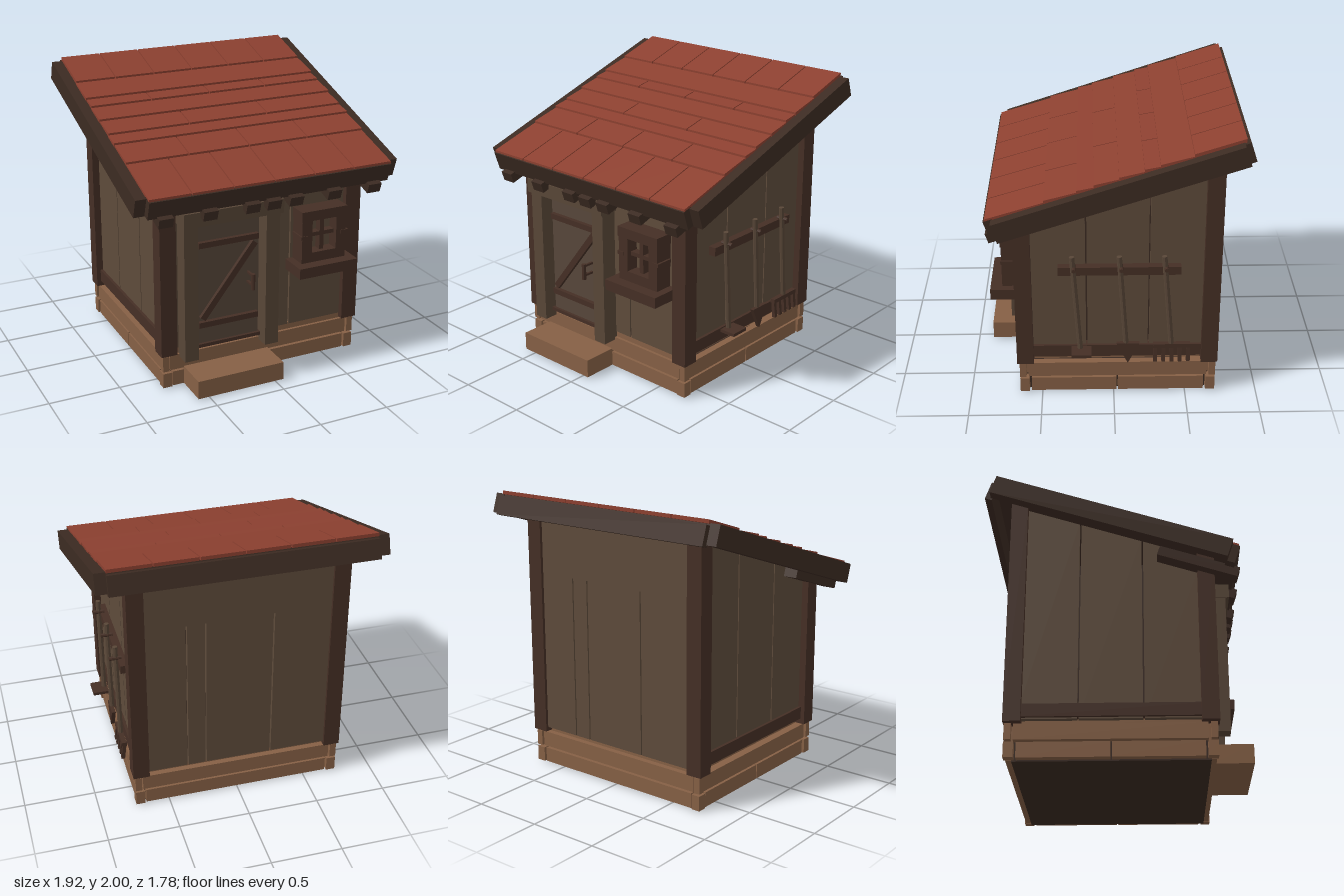
import * as THREE from 'three';

const SLOPE = 0.33, ANGLE = Math.atan(SLOPE);
const roofY = z => 1.455 + (0.83 - z) * SLOPE;

export function createModel() {
  const shed = new THREE.Group();
  shed.name = 'shed';
  const mat = color => new THREE.MeshStandardMaterial({ color, flatShading: true });
  const M = {
    tile: mat(0x8c4030), wall: mat(0x5e4b3b), door: mat(0x57463a), trim: mat(0x452f25),
    fascia: mat(0x3c2b22), frame: mat(0x584637), base: mat(0x866045), core: mat(0x3a2a22)
  };

  const add = (name, geo, m, parent = shed) => {
    const mesh = new THREE.Mesh(geo, m);
    mesh.name = name;
    parent.add(mesh);
    return mesh;
  };
  const group = name => {
    const g = new THREE.Group();
    g.name = name;
    shed.add(g);
    return g;
  };
  // box given by its limits on each axis
  const box = (name, x0, x1, y0, y1, z0, z1, m, parent) => {
    const mesh = add(name, new THREE.BoxGeometry(x1 - x0, y1 - y0, z1 - z0), m, parent);
    mesh.position.set((x0 + x1) / 2, (y0 + y1) / 2, (z0 + z1) / 2);
    return mesh;
  };
  // outline in (z, y), extruded from x0 to x1
  const prism = (name, pts, x0, x1, m, parent) => {
    const shape = new THREE.Shape(pts.map(p => new THREE.Vector2(p[0], p[1])));
    const geo = new THREE.ExtrudeGeometry(shape, { depth: x1 - x0, bevelEnabled: false });
    geo.rotateY(-Math.PI / 2).translate(x1, 0, 0);
    return add(name, geo, m, parent);
  };
  // upright piece whose top follows the roof
  const underRoof = (name, x0, x1, y0, z0, z1, m, parent) => prism(name,
    [[z0, y0], [z1, y0], [z1, roofY(z1) - 0.06], [z0, roofY(z0) - 0.06]], x0, x1, m, parent);

  // Foundation: two courses of blocks around a core
  const base = group('foundation');
  box('foundationCore', -0.68, 0.68, 0, 0.24, -0.66, 0.61, M.core, base);
  box('floorSill', -0.67, 0.67, 0.235, 0.29, -0.66, 0.625, M.base, base);
  [[0.01, 0.115, 0.065], [0.13, 0.24, 0.045]].forEach(([y0, y1, c], row) => {
    for (const s of [-1, 1]) {
      const xa = s > 0 ? 0.74 - c : -0.74, xb = xa + c;
      box('cornerBlock', xa, xb, y0, y1, 0.655 - c, 0.655, M.base, base);
      box('cornerBlock', xa, xb, y0, y1, -0.71, -0.71 + c, M.base, base);
      const sx = s > 0 ? 0.63 : -0.73;
      const cuts = row ? [-0.7 + c, 0.645 - c] : [-0.7 + c, -0.025, 0.645 - c];
      for (let i = 0; i < cuts.length - 1; i++)
        box('sideBlock', sx, sx + 0.1, y0, y1, cuts[i] + 0.005, cuts[i + 1] - 0.005, M.base, base);
    }
    box('frontBlock', -0.73 + c, 0.73 - c, y0, y1, 0.55, 0.645, M.base, base);
    box('backBlock', -0.73 + c, 0.73 - c, y0, y1, -0.7, -0.6, M.base, base);
  });
  box('doorStep', -0.585, 0.055, 0.01, 0.14, 0.62, 0.89, M.base);

  // Walls: planks with narrow gaps over an inner lining
  const walls = group('walls');
  box('innerLining', -0.66, 0.66, 0.28, 1.43, -0.66, 0.59, M.core, walls);
  const planks = (cuts, make) => {
    for (let i = 0; i < cuts.length - 1; i++) make(cuts[i] + 0.005, cuts[i + 1] - 0.005);
  };
  for (const s of [-1, 1]) {
    const x0 = s > 0 ? 0.665 : -0.705;
    planks([-0.65, -0.24, 0.185, 0.6], (a, b) => underRoof('sidePlank', x0, x0 + 0.04, 0.28, a, b, M.wall, walls));
    const sx = s > 0 ? 0.66 : -0.725;
    box('sideSill', sx, sx + 0.065, 0.29, 0.38, -0.65, 0.6, M.trim, walls);
  }
  planks([-0.67, -0.51, -0.02, 0.225, 0.67], (a, b) => box('frontPlank', a, b, 0.28, 1.45, 0.595, 0.63, M.wall, walls));
  planks([-0.67, -0.24, 0.23, 0.36, 0.67], (a, b) => box('backPlank', a, b, 0.28, 1.43, -0.7, -0.665, M.wall, walls));
  box('backUpperBoard', -0.67, 0.67, 1.43, 1.88, -0.7, -0.665, M.wall, walls);
  for (const [a, b] of [[-0.755, -0.64], [0.64, 0.755]]) {
    underRoof('frontPost', a, b, 0.25, 0.555, 0.67, M.trim, walls);
    underRoof('backPost', a, b, 0.25, -0.72, -0.605, M.trim, walls);
  }

  // Door
  const door = group('door');
  box('doorPanel', -0.5, -0.03, 0.29, 1.19, 0.63, 0.66, M.door, door);
  box('doorFoot', -0.515, -0.02, 0.27, 0.295, 0.62, 0.68, M.trim, door);
  box('doorJamb', -0.615, -0.515, 0.22, 1.19, 0.62, 0.745, M.frame, door);
  box('doorJamb', -0.015, 0.085, 0.22, 1.19, 0.62, 0.745, M.frame, door);
  box('doorHeader', -0.625, 0.1, 1.19, 1.29, 0.62, 0.77, M.frame, door);
  for (const y of [0.42, 1.0]) box('doorRail', -0.485, -0.045, y, y + 0.04, 0.65, 0.69, M.trim, door);
  const brace = add('doorBrace', new THREE.BoxGeometry(0.63, 0.045, 0.03), M.trim, door);
  brace.position.set(-0.263, 0.73, 0.672);
  brace.rotation.z = Math.atan2(0.5, 0.39);
  const handle = add('doorHandle', new THREE.CylinderGeometry(0.015, 0.015, 0.115, 8), M.trim, door);
  handle.position.set(-0.11, 0.715, 0.74);
  for (const y of [0.68, 0.75]) box('handleMount', -0.118, -0.102, y, y + 0.015, 0.65, 0.74, M.trim, door);

  // Window
  const win = group('window');
  box('windowPane', 0.31, 0.53, 0.83, 1.11, 0.62, 0.67, M.wall, win);
  box('windowTop', 0.245, 0.595, 1.09, 1.16, 0.62, 0.765, M.trim, win);
  box('windowBottom', 0.25, 0.59, 0.785, 0.855, 0.62, 0.76, M.trim, win);
  for (const [a, b] of [[0.25, 0.328], [0.515, 0.59]]) box('windowSide', a, b, 0.785, 1.09, 0.62, 0.76, M.trim, win);
  for (const a of [0.24, 0.55]) box('windowBlock', a, a + 0.055, 0.96, 0.985, 0.64, 0.765, M.trim, win);
  box('windowBarVertical', 0.405, 0.437, 0.85, 1.09, 0.64, 0.725, M.trim, win);
  box('windowBarLevel', 0.32, 0.52, 0.96, 0.988, 0.64, 0.725, M.trim, win);
  box('windowSill', 0.195, 0.645, 0.71, 0.785, 0.62, 0.84, M.trim, win);

  // Roof: deck, edge boards, rafters and overlapping shingles
  const roof = group('roof');
  const sloped = (name, w, h, len, x, y, z, m) => {
    const mesh = add(name, new THREE.BoxGeometry(w, h, len), m, roof);
    mesh.position.set(x, y, z);
    mesh.rotation.x = ANGLE;
    return mesh;
  };
  sloped('roofDeck', 1.77, 0.05, 1.7, 0, roofY(0) - 0.05, 0, M.fascia);
  for (const s of [-1, 1]) sloped('rakeBoard', 0.075, 0.137, 1.68, s * 0.922, 1.647, -0.03, M.fascia);
  sloped('frontFascia', 1.77, 0.135, 0.065, 0, 1.383, 0.787, M.fascia);
  sloped('backFascia', 1.77, 0.135, 0.05, 0, 1.9, -0.845, M.fascia);
  for (const x of [-0.77, -0.46, -0.155, 0, 0.165, 0.455, 0.765])
    sloped('rafter', 0.1, 0.07, 0.56, x, 1.365, 0.56, M.fascia);
  const rows = [
    [0.83, 6], [0.45, 4], [0.24, 1], [0.13, 3], [-0.03, 1], [-0.19, 4], [-0.29, 1], [-0.5, 6], [-0.82, 0]
  ];
  for (let i = 0; i < rows.length - 1; i++) {
    const [zf, n] = rows[i], zb = rows[i + 1][0];
    const lift = i === 0 ? 0 : 0.004, w = 1.776 / n, gap = n > 1 ? 0.008 : 0;
    const yf = roofY(zf) + lift, yb = roofY(zb) - (i === rows.length - 2 ? 0 : 0.01);
    for (let k = 0; k < n; k++) {
      const x = -0.888 + k * w;
      prism('shingle', [[zf, yf - 0.025], [zf, yf], [zb, yb], [zb, yb - 0.025]],
        x + gap / 2, x + w - gap / 2, M.tile, roof);
    }
  }

  // Garden tools hung on the left wall
  const tools = group('tools');
  box('toolRail', 0.7, 0.76, 0.96, 1.02, -0.45, 0.375, M.trim, tools);
  const pole = (name, z0, y0, z1, y1) => {
    const a = new THREE.Vector3(0.772, y0, z0), b = new THREE.Vector3(0.772, y1, z1);
    const mesh = add(name, new THREE.CylinderGeometry(0.018, 0.018, a.distanceTo(b), 8), M.frame, tools);
    mesh.position.copy(a).add(b).multiplyScalar(0.5);
    mesh.quaternion.setFromUnitVectors(new THREE.Vector3(0, 1, 0), b.sub(a).normalize());
  };
  pole('hoeHandle', 0.23, 0.38, 0.28, 1.11);
  pole('shovelHandle', -0.085, 0.4, -0.035, 1.11);
  pole('rakeHandle', -0.395, 0.4, -0.335, 1.11);
  for (const z of [0.268, -0.048, -0.348]) {
    const peg = add('peg', new THREE.CylinderGeometry(0.014, 0.014, 0.085, 8), M.trim, tools);
    peg.rotation.z = Math.PI / 2;
    peg.position.set(0.775, 1.025, z);
  }
  box('hoeBlade', 0.75, 0.865, 0.37, 0.392, 0.155, 0.29, M.trim, tools);
  prism('shovelBlade', [[-0.018, 0.435], [-0.175, 0.435], [-0.096, 0.275]], 0.762, 0.79, M.trim, tools);
  box('rakeHead', 0.755, 0.79, 0.395, 0.425, -0.525, -0.27, M.trim, tools);
  for (let i = 0; i < 5; i++) {
    const z = -0.511 + i * 0.0567;
    const tine = box('rakeTine', 0.765, 0.79, 0.285, 0.41, z - 0.013, z + 0.013, M.trim, tools);
    tine.rotation.z = 0.12;
  }
  return shed;
}
